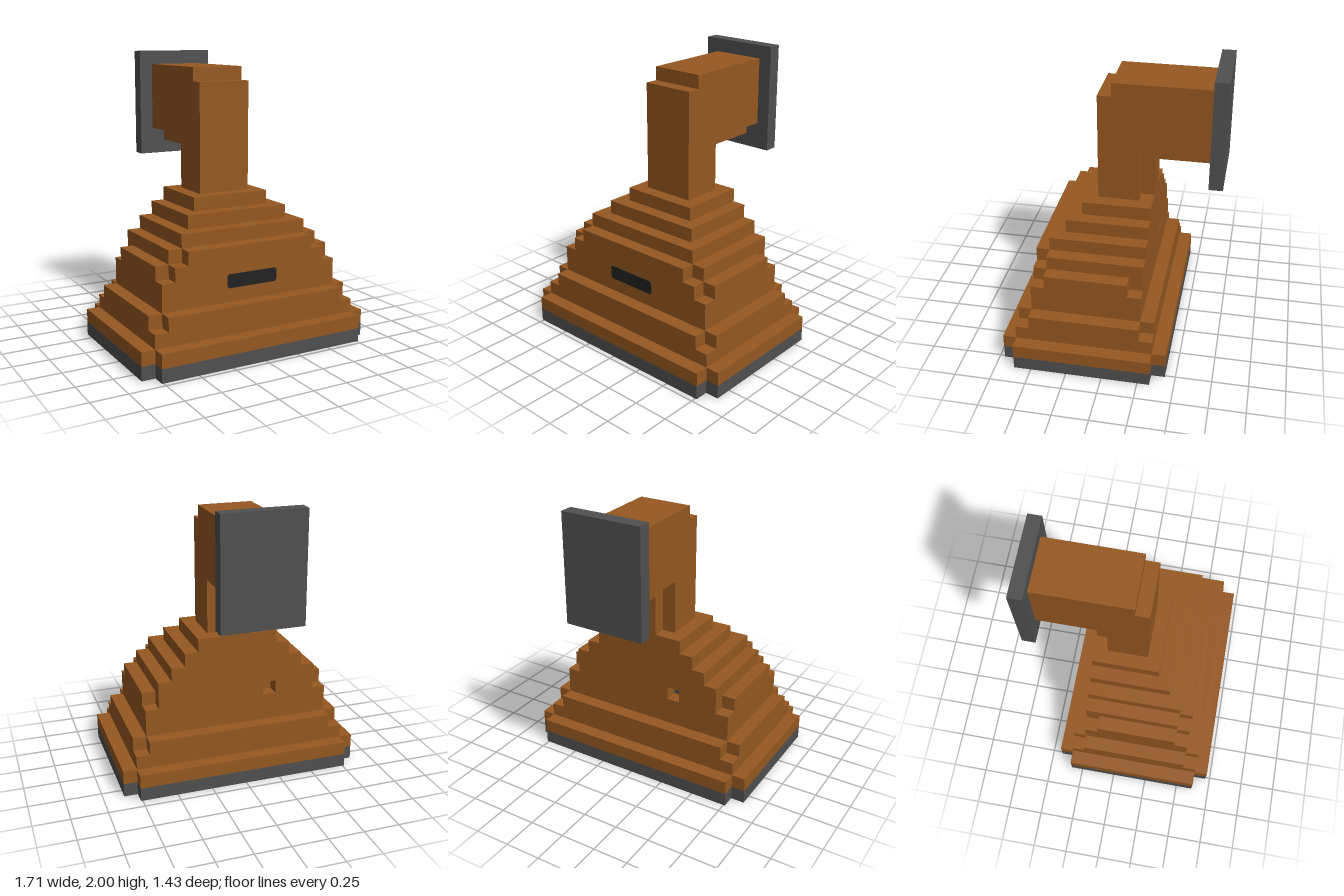
import * as THREE from 'three';

const U = 2 / 21; // edge of one block

export function createModel() {
  const model = new THREE.Group();
  const mat = (name, color) => {
    const m = new THREE.MeshStandardMaterial({ color });
    m.name = name;
    return m;
  };
  const brown = mat('brown', 0x965820);
  const grey = mat('dark grey', 0x505050);
  const black = mat('black', 0x222222);

  // Box between two corners, measured in blocks
  const box = (name, m, x0, x1, y0, y1, z0, z1) => {
    const mesh = new THREE.Mesh(
      new THREE.BoxGeometry((x1 - x0) * U, (y1 - y0) * U, (z1 - z0) * U), m);
    mesh.position.set((x0 + x1) / 2 * U, (y0 + y1) / 2 * U, (z0 + z1) / 2 * U);
    mesh.name = name;
    model.add(mesh);
  };
  // Slab centred on x
  const slab = (name, m, w, y0, y1, z0, z1) => box(name, m, -w, w, y0, y1, z0, z1);
  // Mirrored pair of side walls, one block thick, with outer face at x = w
  const sides = (name, m, w, y0, y1, z0, z1) => {
    box(name + 'Left', m, w - 1, w, y0, y1, z0, z1);
    box(name + 'Right', m, -w, 1 - w, y0, y1, z0, z1);
  };

  // Foot rim, and the lowest course of the hood standing on it
  for (const [name, m, y] of [['footRim', grey, 0], ['lowerCourse', brown, 1]]) {
    slab(name + 'Front', m, 8, y, y + 1, 6.5, 7.5);
    slab(name + 'Back', m, 8, y, y + 1, -4.5, -3.5);
    sides(name + 'Side', m, 9, y, y + 1, -3.5, 6.5);
  }

  // Stepped front walls: half width, bottom, top, front face z
  for (const [w, y0, y1, z] of [
    [8, 2, 3, 6.5], [7, 3, 4, 6.5], [7, 4, 6, 5.5], [6, 6, 7, 5.5],
    [5, 7, 8, 5.5], [5, 8, 9, 4.5], [4, 9, 10, 3.5], [3, 10, 11, 2.5],
  ]) slab('hoodFront', brown, w, y0, y1, z - 1, z);

  // Stepped back walls: half width, bottom, top, back face z
  for (const [w, y0, y1, z] of [
    [8, 2, 3, -3.5], [7, 3, 4, -3.5], [7, 4, 6, -2.5],
    [6, 7, 8, -2.5], [5, 8, 9, -2.5], [4, 9, 10, -2.5], [3, 10, 11, -2.5],
  ]) slab('hoodBack', brown, w, y0, y1, z, z + 1);
  // Back course with a small square opening
  box('hoodBackRight', brown, -6, -3, 6, 7, -2.5, -1.5);
  box('hoodBackLeft', brown, -2, 6, 6, 7, -2.5, -1.5);

  // Stepped side walls: outer face x, bottom, top, back z, front z
  for (const [w, y0, y1, z0, z1] of [
    [8, 2, 4, -2.5, 5.5], [7, 4, 7, -1.5, 4.5], [6, 7, 8, -1.5, 4.5],
    [5, 8, 9, -1.5, 3.5], [4, 9, 10, -1.5, 2.5], [3, 10, 11, -1.5, 1.5],
  ]) sides('hoodSide', brown, w, y0, y1, z0, z1);

  // Hollow column and arm
  slab('columnFront', brown, 2, 11, 19, 0.5, 1.5);
  sides('columnSide', brown, 2, 11, 19, -1.5, 0.5);
  slab('columnBack', brown, 1, 11, 15, -2.5, -1.5);
  sides('armSide', brown, 2, 15, 19, -6.5, -1.5);
  slab('armTop', brown, 2, 19, 20, -6.5, 0.5);
  slab('armBottom', brown, 1, 14, 15, -6.5, -2.5);

  // Wall plate behind the arm
  slab('wallPlate', grey, 3, 13, 21, -7.5, -6.5);

  // Dark slot on the front, with clipped corners
  const w = 2 * U, h = U / 2, c = 0.012;
  const outline = new THREE.Shape([
    [-w + c, -h], [w - c, -h], [w, -h + c], [w, h - c],
    [w - c, h], [-w + c, h], [-w, h - c], [-w, -h + c],
  ].map(([x, y]) => new THREE.Vector2(x, y)));
  const slot = new THREE.Mesh(
    new THREE.ExtrudeGeometry(outline, { depth: 0.004, bevelEnabled: false }), black);
  slot.position.set(0, 5.5 * U, 5.5 * U);
  slot.name = 'frontSlot';
  model.add(slot);

  return model;
}
